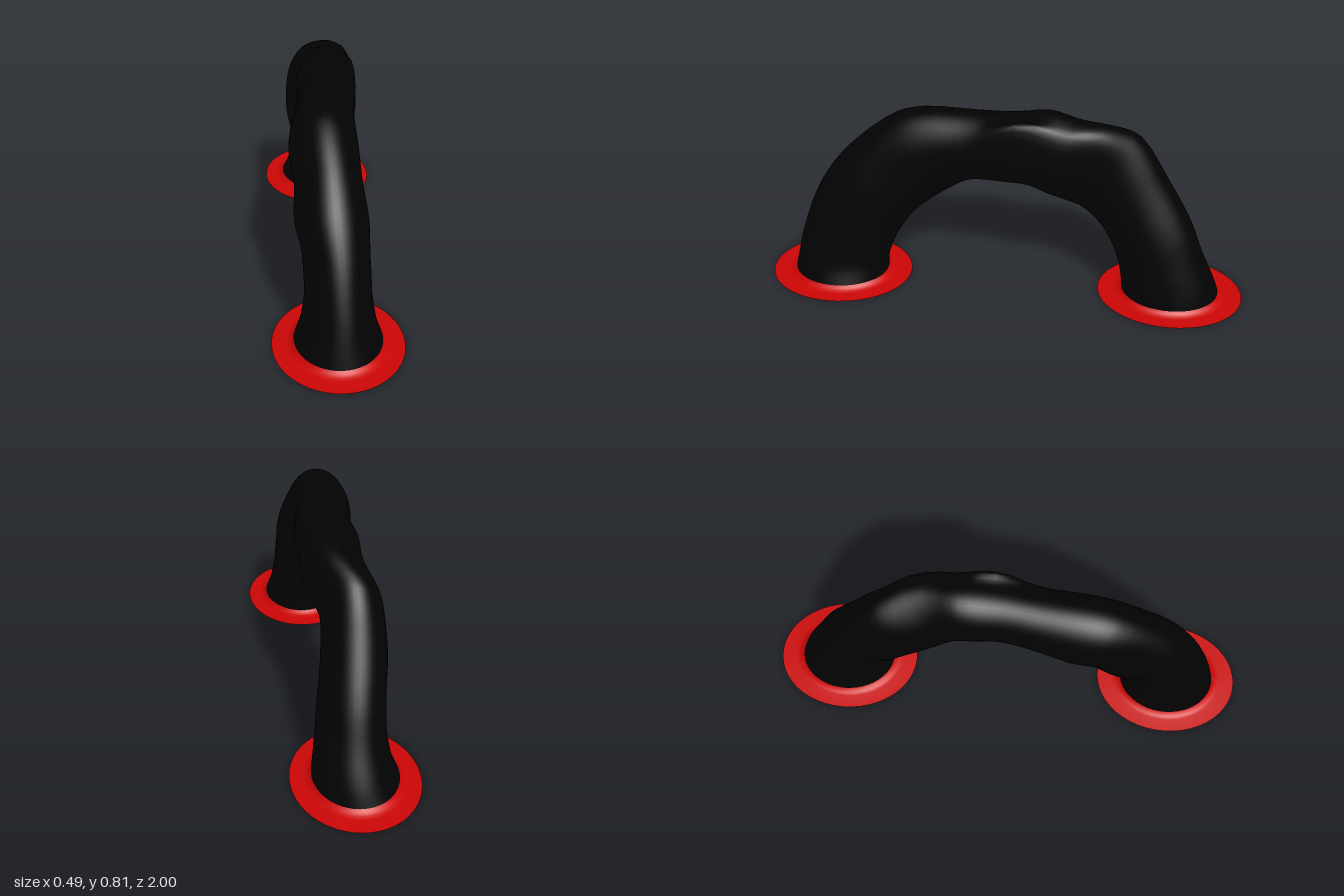
import * as THREE from 'three';

// Cross-sections along the arch: outer z, outer y, inner z, inner y, min x, max x
const SECTIONS = [
  [0.90, 0.02, 0.50, 0.02, -0.162, 0.162],
  [0.883, 0.09, 0.493, 0.085, -0.137, 0.138],
  [0.85, 0.21, 0.46, 0.18, -0.12, 0.123],
  [0.79, 0.37, 0.41, 0.27, -0.125, 0.12],
  [0.71, 0.51, 0.36, 0.33, -0.15, 0.12],
  [0.59, 0.64, 0.29, 0.39, -0.145, 0.105],
  [0.44, 0.75, 0.20, 0.45, -0.16, 0.10],
  [0.33, 0.782, 0.13, 0.488, -0.15, 0.097],
  [0.12, 0.79, 0.06, 0.50, -0.125, 0.105],
  [-0.05, 0.80, -0.02, 0.505, -0.11, 0.122],
  [-0.18, 0.815, -0.10, 0.495, -0.115, 0.12],
  [-0.28, 0.795, -0.17, 0.468, -0.11, 0.125],
  [-0.44, 0.758, -0.25, 0.425, -0.13, 0.10],
  [-0.54, 0.705, -0.32, 0.385, -0.145, 0.085],
  [-0.65, 0.54, -0.40, 0.31, -0.145, 0.10],
  [-0.76, 0.355, -0.45, 0.23, -0.125, 0.125],
  [-0.82, 0.21, -0.48, 0.15, -0.12, 0.14],
  [-0.875, 0.09, -0.493, 0.08, -0.135, 0.153],
  [-0.90, 0.02, -0.50, 0.02, -0.162, 0.162],
];
const SIDES = 48;

function archGeometry(steps) {
  const curve = (f) => new THREE.CatmullRomCurve3(SECTIONS.map(f));
  const outer = curve((s) => new THREE.Vector3(0, s[1], s[0]));
  const inner = curve((s) => new THREE.Vector3(0, s[3], s[2]));
  const width = curve((s) => new THREE.Vector3(s[4], s[5], 0));
  const bump = (z, at, spread) => Math.exp(-(((z - at) / spread) ** 2));
  const positions = [], index = [];
  for (let i = 0; i <= steps; i++) {
    const t = i / steps;
    const o = outer.getPoint(t), n = inner.getPoint(t), w = width.getPoint(t);
    const mid = o.clone().add(n).multiplyScalar(0.5);
    const out = o.clone().sub(n).multiplyScalar(0.5);
    // the crown has a squared left shoulder; behind it the top leans to the left
    const shoulder = 1.7 * bump(o.z, -0.05, 0.13) + 0.65 * bump(o.z, -0.33, 0.15);
    const lean = 0.25 * bump(o.z, -0.37, 0.1);
    for (let j = 0; j < SIDES; j++) {
      const a = (j / SIDES) * Math.PI * 2;
      const c = Math.cos(a), s = Math.sin(a);
      const k = c + (shoulder * Math.max(0, s) ** 4 + lean * s) * Math.max(0, c);
      positions.push((w.x + w.y) / 2 + (s * (w.y - w.x)) / 2, mid.y + out.y * k, mid.z + out.z * k);
      if (i < steps) {
        const p = i * SIDES + j, q = i * SIDES + ((j + 1) % SIDES);
        index.push(p, q, p + SIDES, q, q + SIDES, p + SIDES);
      }
    }
  }
  const geo = new THREE.BufferGeometry();
  geo.setAttribute('position', new THREE.Float32BufferAttribute(positions, 3));
  geo.setIndex(index);
  geo.computeVertexNormals();
  return geo;
}

export function createModel() {
  const group = new THREE.Group();
  group.name = 'archedTube';
  const black = new THREE.MeshStandardMaterial({ color: 0x020202, side: THREE.DoubleSide });
  const red = new THREE.MeshStandardMaterial({ color: 0xcc0606, side: THREE.DoubleSide });

  // Hollow, slightly lumpy arch
  const arch = new THREE.Mesh(archGeometry(54), black);
  arch.name = 'arch';
  group.add(arch);

  // Thin oval flange curling up into each foot
  const profile = [[0.3, 0], [0.237, 0.001], [0.222, 0.004], [0.209, 0.01], [0.2, 0.02]]
    .map(([r, y]) => new THREE.Vector2(r, y));
  const flangeGeo = new THREE.LatheGeometry(profile, SIDES);
  flangeGeo.scale(0.81, 1, 1);
  for (const [name, z] of [['frontFlange', 0.7], ['backFlange', -0.7]]) {
    const flange = new THREE.Mesh(flangeGeo, red);
    flange.name = name;
    flange.position.z = z;
    group.add(flange);
  }
  return group;
}
